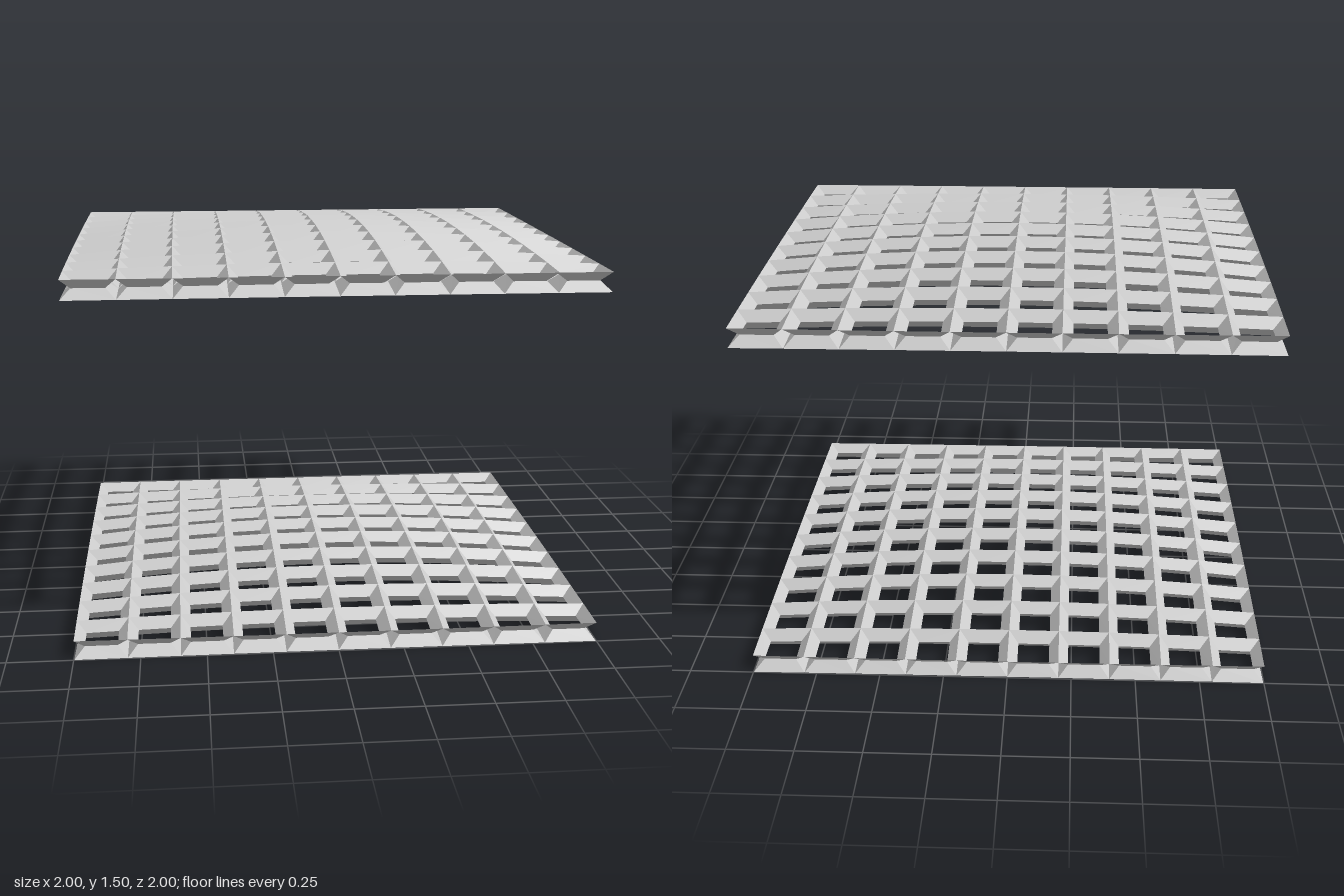
import * as THREE from 'three';

const CELLS = 10;        // cells per side
const HALF_DEPTH = 0.0375; // half the beam height
const RISE = 0.055;      // dome height at the centre
const INSET = 0.38;      // how far the waist moves from corner to cell centre
const SPAN = 0.998;      // half width of the grid

// Point of the domed middle surface
function surfacePoint(i, j) {
  const x = (2 * i / CELLS - 1), z = (2 * j / CELLS - 1);
  return new THREE.Vector3(x * SPAN, HALF_DEPTH + RISE * (1 - x * x) * (1 - z * z), z * SPAN);
}

// Upward normal of the domed surface
function surfaceNormal(i, j) {
  const x = (2 * i / CELLS - 1), z = (2 * j / CELLS - 1);
  return new THREE.Vector3(2 * RISE * x * (1 - z * z), 1, 2 * RISE * z * (1 - x * x)).normalize();
}

// Every cell is a square funnel: rim, narrower waist, rim
function latticeGeometry() {
  const positions = [];
  const quad = (a, b, c, d) => {
    for (const p of [a, b, c, a, c, d]) positions.push(p.x, p.y, p.z);
  };
  for (let i = 0; i < CELLS; i++) {
    for (let j = 0; j < CELLS; j++) {
      const corners = [[i, j], [i, j + 1], [i + 1, j + 1], [i + 1, j]];
      const base = corners.map(([u, v]) => surfacePoint(u, v));
      const centre = base.reduce((sum, p) => sum.add(p), new THREE.Vector3()).divideScalar(4);
      const offset = (k, h) => base[k].clone().addScaledVector(surfaceNormal(...corners[k]), h);
      const top = base.map((_, k) => offset(k, HALF_DEPTH));
      const bottom = base.map((_, k) => offset(k, -HALF_DEPTH));
      const waist = base.map(p => p.clone().lerp(centre, INSET));
      for (let k = 0; k < 4; k++) {
        const n = (k + 1) % 4;
        quad(top[k], top[n], waist[n], waist[k]);
        quad(waist[k], waist[n], bottom[n], bottom[k]);
      }
    }
  }
  const geometry = new THREE.BufferGeometry();
  geometry.setAttribute('position', new THREE.Float32BufferAttribute(positions, 3));
  geometry.computeVertexNormals();
  return geometry;
}

export function createModel() {
  const group = new THREE.Group();
  group.name = 'domedLattices';
  const material = new THREE.MeshStandardMaterial({
    color: 0xcccccc, flatShading: true, side: THREE.DoubleSide,
  });
  const geometry = latticeGeometry();

  // Two identical lattices, one above the other
  for (const [name, y] of [['lowerLattice', 0], ['upperLattice', 1.365]]) {
    const lattice = new THREE.Mesh(geometry, material);
    lattice.name = name;
    lattice.position.y = y;
    group.add(lattice);
  }
  return group;
}
